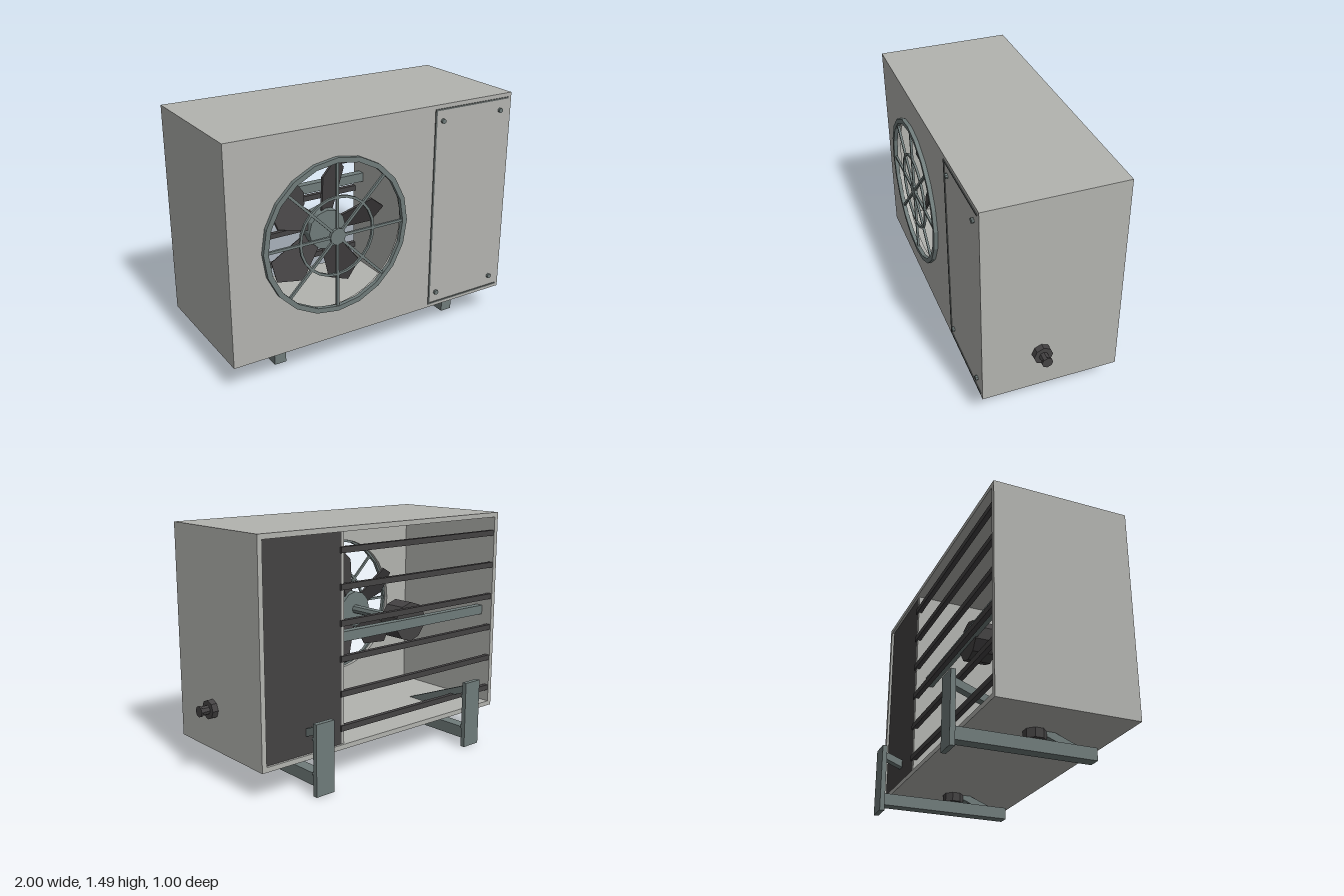
import * as THREE from 'three';

const paint = (name, color) => {
  const m = new THREE.MeshStandardMaterial({ color });
  m.name = name;
  return m;
};

export function createModel() {
  const casing = paint('casingGrey', 0xb2b3af);
  const steel = paint('steelGrey', 0x6f7b7a);
  const dark = paint('darkGrey', 0x444243);
  const seam = paint('seamGrey', 0x5f6463);
  const model = new THREE.Group();
  model.name = 'outdoorFanUnit';

  const add = (name, geometry, material, x = 0, y = 0, z = 0, parent = model) => {
    // flat facets everywhere
    const mesh = new THREE.Mesh(geometry.index ? geometry.toNonIndexed() : geometry, material);
    mesh.geometry.computeVertexNormals();
    mesh.name = name;
    mesh.position.set(x, y, z);
    parent.add(mesh);
    return mesh;
  };
  const box = (w, h, d) => new THREE.BoxGeometry(w, h, d);
  const cylZ = (r, length, sides) => new THREE.CylinderGeometry(r, r, length, sides).rotateX(Math.PI / 2);
  const cylX = (r, length, sides) => new THREE.CylinderGeometry(r, r, length, sides).rotateZ(Math.PI / 2);
  const rect = (Type, x0, y0, x1, y1) => {
    const p = new Type();
    p.moveTo(x0, y0);
    p.lineTo(x1, y0);
    p.lineTo(x1, y1);
    p.lineTo(x0, y1);
    p.closePath();
    return p;
  };
  const circle = (Type, r) => {
    const p = new Type();
    p.absarc(0, 0, r, 0, Math.PI * 2);
    return p;
  };
  const extrude = (shape, depth, curveSegments = 12) =>
    new THREE.ExtrudeGeometry(shape, { depth, bevelEnabled: false, curveSegments });
  const ring = (outer, inner, depth, sides) => {
    const s = circle(THREE.Shape, outer);
    s.holes.push(circle(THREE.Path, inner));
    return extrude(s, depth, sides / 2);
  };

  const FX = -0.335, FY = 0.83; // fan axis

  // Casing: open-backed shell and front plate with a round opening
  const shell = rect(THREE.Shape, -1, 0.175, 0.905, 1.485);
  shell.holes.push(rect(THREE.Path, -0.97, 0.205, 0.875, 1.455));
  add('casingShell', extrude(shell, 0.815), casing, 0, 0, -0.365);
  const front = rect(THREE.Shape, -1, 0.175, 0.905, 1.485);
  const opening = new THREE.Path();
  opening.absarc(FX, FY, 0.45, 0, Math.PI * 2);
  front.holes.push(opening);
  add('frontPlate', extrude(front, 0.025, 20), casing, 0, 0, 0.45);
  add('partition', box(0.02, 1.25, 0.8), casing, 0.315, 0.83, 0.05);
  add('rearCover', box(0.55, 1.25, 0.02), dark, 0.6, 0.83, -0.34);

  // Service panel seams and screws
  add('panelSeamSide', box(0.012, 1.26, 0.006), seam, 0.34, 0.83, 0.477);
  for (const y of [0.2, 1.455]) add('panelSeam', box(0.545, 0.01, 0.006), seam, 0.607, y, 0.477);
  for (const x of [0.39, 0.82])
    for (const y of [0.27, 1.385]) add('panelScrew', cylZ(0.015, 0.016, 8), steel, x, y, 0.482);

  // Rear louvre bars
  for (let i = 0; i < 6; i++)
    add('louvreBar', box(1.305, 0.035, 0.03), dark, -0.3175, 0.512 + (i - 1) * 0.21, -0.345);

  // Fan grille
  const grille = new THREE.Group();
  grille.name = 'fanGrille';
  grille.position.set(FX, FY, 0.475);
  model.add(grille);
  add('grilleRim', ring(0.47, 0.44, 0.025, 20), steel, 0, 0, 0, grille);
  add('grilleInnerRing', ring(0.245, 0.23, 0.014, 24), steel, 0, 0, 0.004, grille);
  add('grilleCentre', cylZ(0.05, 0.02, 12), steel, 0, 0, 0.012, grille);
  for (let i = 0; i < 4; i++)
    add('grilleSpoke', box(0.9, 0.016, 0.014), steel, 0, 0, 0.011, grille).rotation.z = (i * Math.PI) / 4;

  // Motor on its cross beam
  add('motorBeam', box(1.275, 0.06, 0.05), steel, -0.3325, FY, -0.26);
  add('motor', cylZ(0.125, 0.14, 10), dark, FX, FY, -0.175);
  add('motorShaft', cylZ(0.03, 0.42, 8), steel, FX, FY, 0.09);

  // Five-bladed fan
  const fan = new THREE.Group();
  fan.name = 'fan';
  fan.position.set(FX, FY, 0.33);
  model.add(fan);
  add('fanHub', cylZ(0.12, 0.1, 12), steel, 0, 0, 0, fan);
  const blade = new THREE.Shape(
    [[0.09, -0.055], [0.2, -0.075], [0.35, -0.1], [0.415, 0], [0.31, 0.11], [0.09, 0.05]].map(
      ([x, y]) => new THREE.Vector2(x, y)
    )
  );
  for (let i = 0; i < 5; i++) {
    const arm = new THREE.Group();
    arm.name = 'fanBladeArm';
    arm.rotation.z = ((6 + 72 * i) * Math.PI) / 180;
    fan.add(arm);
    add('fanBlade', extrude(blade, 0.012).translate(0, 0, -0.006), dark, 0, 0, 0, arm).rotation.x = 0.45;
  }

  // Pipe fitting on the side
  add('pipeCollar', cylX(0.058, 0.04, 8), dark, 0.922, 0.43, 0.12);
  add('pipeStub', cylX(0.028, 0.06, 8), dark, 0.965, 0.43, 0.12);
  add('pipeTip', cylX(0.034, 0.012, 8), dark, 0.994, 0.43, 0.12);

  // Wall brackets with diagonal braces and rubber feet
  for (const x of [-0.66, 0.565]) {
    const bracket = new THREE.Group();
    bracket.name = 'wallBracket';
    bracket.position.x = x;
    model.add(bracket);
    add('wallPlate', box(0.13, 0.43, 0.03), steel, 0, 0.215, -0.48, bracket);
    add('bracketArm', box(0.075, 0.075, 0.845), steel, 0, 0.0825, -0.0475, bracket);
    const a = Math.atan(0.39);
    add('bracketBrace', box(0.05, 0.045, 0.79), steel, 0, 0.235, -0.09, bracket).rotation.x = a;
    for (const y of [0.13, 0.335])
      add('bracketBolt', cylZ(0.014, 0.015, 8), steel, 0.05, y, -0.459, bracket);
    add('rubberFoot', new THREE.CylinderGeometry(0.065, 0.065, 0.055, 8).rotateY(Math.PI / 8),
      dark, 0, 0.1475, 0.015, bracket);
  }

  return model;
}
